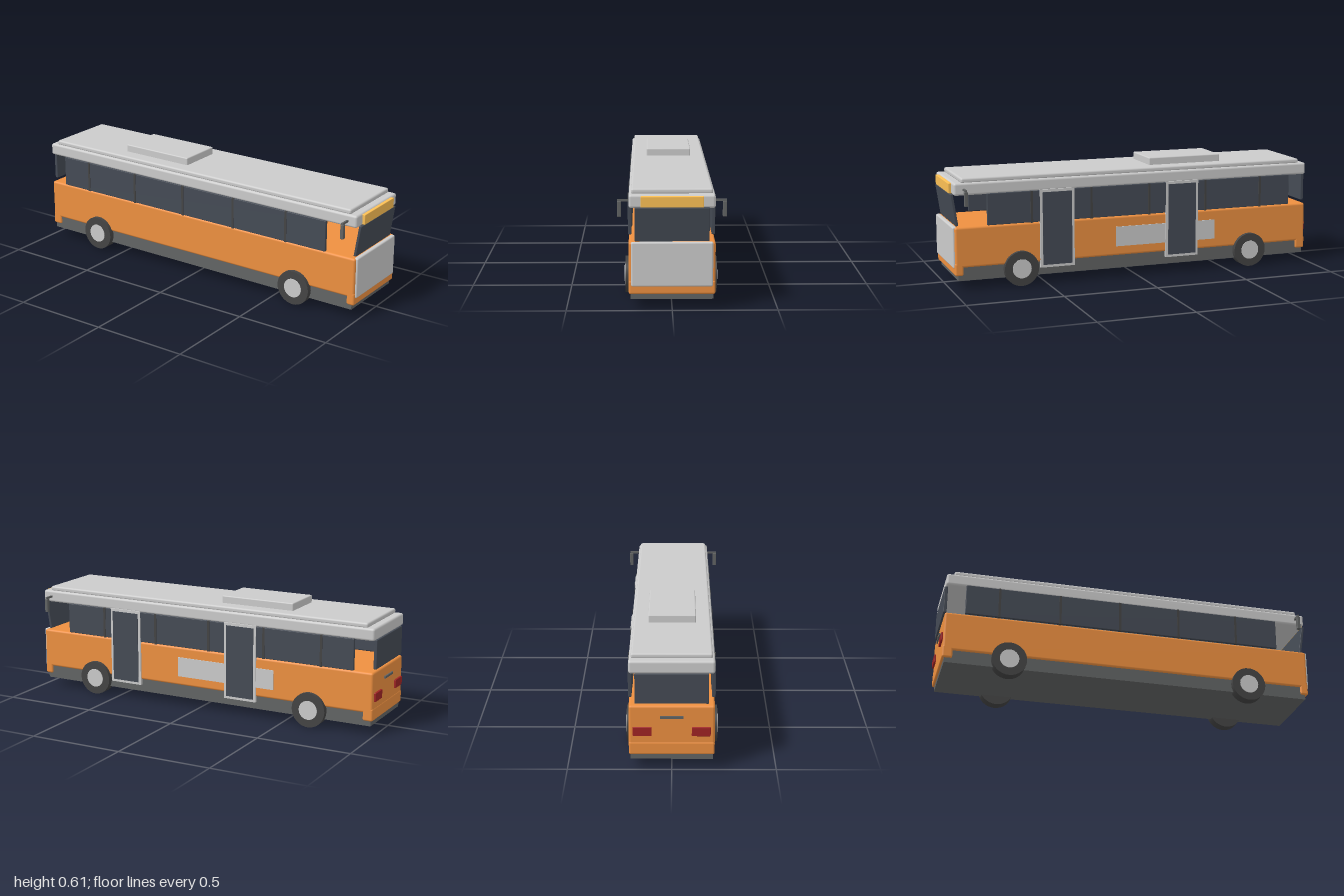
import * as THREE from 'three';
import { RoundedBoxGeometry } from 'three/addons/geometries/RoundedBoxGeometry.js';

const material = (color) => new THREE.MeshStandardMaterial({ color });
const grey = material(0xcccccc);
const orange = material(0xee9040);
const glass = material(0x454b55);
const yellow = material(0xfcc055);
const dark = material(0x626464);
const rubber = material(0x444444);
const red = material(0xa02424);

export function createModel() {
  const bus = new THREE.Group();
  bus.name = 'bus';

  // Box given by its extents [min, max] on each axis, with optional rounded edges
  function box(name, mat, [x0, x1], [y0, y1], [z0, z1], radius = 0, parent = bus) {
    const size = [x1 - x0, y1 - y0, z1 - z0];
    const geometry = radius
      ? new RoundedBoxGeometry(...size, 3, radius)
      : new THREE.BoxGeometry(...size);
    const mesh = new THREE.Mesh(geometry, mat);
    mesh.position.set((x0 + x1) / 2, (y0 + y1) / 2, (z0 + z1) / 2);
    mesh.name = name;
    parent.add(mesh);
    return mesh;
  }
  // z extents mirrored to the chosen side
  const zSide = (s, a, b) => (s > 0 ? [a, b] : [-b, -a]);

  // Lower body
  box('chassisSkirt', dark, [-0.98, 0.965], [0.047, 0.13], [-0.197, 0.197]);
  box('lowerBody', orange, [-0.99, 0.98], [0.115, 0.325], [-0.205, 0.205], 0.012);
  box('frontBumper', orange, [0.938, 0.982], [0.073, 0.14], [-0.205, 0.205], 0.01);
  box('rearBumper', orange, [-0.992, -0.938], [0.073, 0.14], [-0.205, 0.205], 0.01);
  box('frontPanel', grey, [0.965, 0.99], [0.112, 0.326], [-0.193, 0.193], 0.008);

  // Roof
  box('roof', grey, [-0.99, 0.98], [0.486, 0.55], [-0.204, 0.204], 0.012);
  box('roofCap', grey, [-0.95, 0.94], [0.546, 0.573], [-0.193, 0.193], 0.01);
  box('airConditioner', grey, [-0.51, -0.1], [0.565, 0.612], [-0.119, 0.119], 0.006);
  box('destinationSign', yellow, [0.97, 0.995], [0.492, 0.544], [-0.148, 0.148], 0.003);

  // Front and rear glass; the windshield leans outward at the top
  const windshield = box('windshield', glass, [0.966, 0.98], [0.326, 0.492], [-0.176, 0.176], 0.003);
  windshield.rotation.z = -0.15;
  box('rearWindow', glass, [-0.995, -0.978], [0.338, 0.488], [-0.175, 0.175], 0.003);

  // Side windows with thin pillars, and mirrors
  for (const s of [1, -1]) {
    const side = s > 0 ? 'left' : 'right';
    box(side + 'SideWindow', glass, [-0.886, 0.811], [0.327, 0.49], zSide(s, 0.193, 0.21), 0.003);
    for (let i = 0; i < 5; i++) {
      const x = -0.71 + i * 0.322;
      box(side + 'WindowPillar', rubber, [x - 0.006, x + 0.006], [0.325, 0.49], zSide(s, 0.191, 0.213));
    }
    box(side + 'MirrorArm', dark, [0.924, 0.934], [0.512, 0.522], zSide(s, 0.195, 0.258));
    box(side + 'Mirror', dark, [0.92, 0.938], [0.438, 0.513], zSide(s, 0.239, 0.259), 0.003);
    box(side + 'TailLight', red, [-1, -0.985], [0.173, 0.218], zSide(s, 0.095, 0.185), 0.003);
  }
  box('rearHandle', dark, [-0.998, -0.985], [0.262, 0.274], [-0.055, 0.055]);

  // Doors on the right side: a dark leaf in a raised grey frame
  for (const [name, x0, x1] of [['frontDoor', 0.35, 0.535], ['middleDoor', -0.345, -0.16]]) {
    const door = new THREE.Group();
    door.name = name;
    bus.add(door);
    const y0 = 0.085, y1 = 0.494, t = 0.014, z = [-0.213, -0.195];
    box('doorLeaf', glass, [x0 + t, x1 - t], [y0 + t, y1 - t], [-0.217, -0.195], 0, door);
    box('doorFrameBack', grey, [x0, x0 + t], [y0, y1], z, 0, door);
    box('doorFrameFront', grey, [x1 - t, x1], [y0, y1], z, 0, door);
    box('doorFrameTop', grey, [x0 + t, x1 - t], [y1 - t, y1], z, 0, door);
    box('doorFrameBottom', grey, [x0 + t, x1 - t], [y0, y0 + t], z, 0, door);
  }
  box('sidePanel', grey, [-0.445, 0.12], [0.165, 0.27], [-0.209, -0.198]);

  // Wheels
  const tyre = new THREE.CylinderGeometry(0.091, 0.091, 0.055, 32).rotateX(Math.PI / 2);
  const hub = new THREE.CylinderGeometry(0.05, 0.05, 0.058, 32).rotateX(Math.PI / 2);
  for (const x of [-0.65, 0.638]) {
    for (const s of [1, -1]) {
      const wheel = new THREE.Group();
      wheel.name = (x > 0 ? 'front' : 'rear') + (s > 0 ? 'Left' : 'Right') + 'Wheel';
      const tyreMesh = new THREE.Mesh(tyre, rubber);
      tyreMesh.name = 'tyre';
      const hubMesh = new THREE.Mesh(hub, grey);
      hubMesh.name = 'hub';
      hubMesh.position.z = s * 0.002;
      wheel.add(tyreMesh, hubMesh);
      wheel.position.set(x, 0.091, s * 0.1975);
      bus.add(wheel);
    }
  }
  return bus;
}
